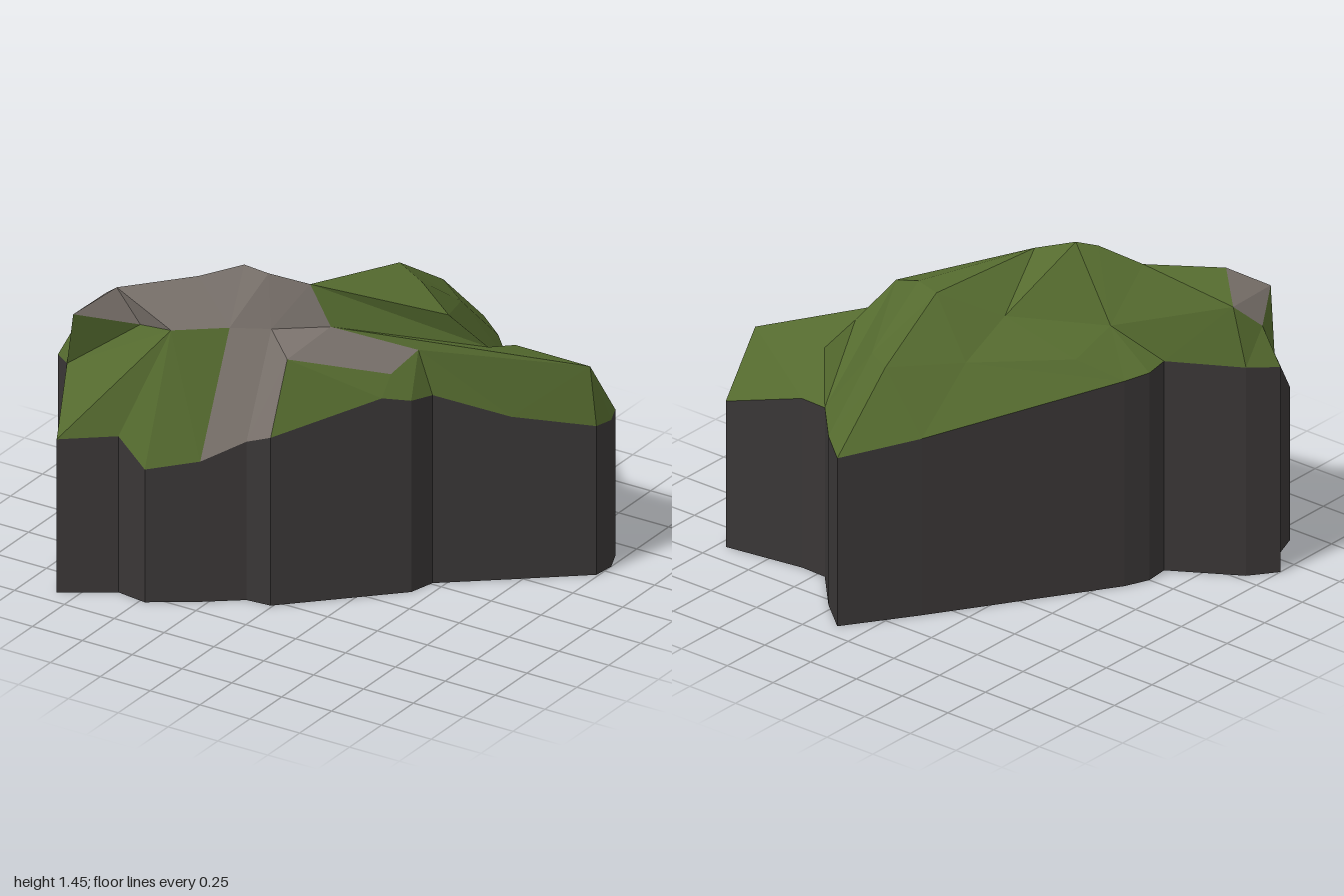
import * as THREE from 'three';

// Rim of the cliff, counter-clockwise seen from above
const rim = {
  A: [-1, 0.97, 0.66], B: [-0.91, 0.98, 0.73], C: [-0.84, 0.72, 0.92], D: [-0.62, 0.735, 0.78],
  E: [-0.475, 0.625, 0.8], F: [-0.28, 0.66, 0.67], G: [-0.125, 0.745, 0.55], H: [-0.01, 0.79, 0.54],
  X: [0.33, 0.925, 0.2], I: [0.42, 0.9, 0.11], J: [0.45, 0.885, -0.01], Y: [0.71, 0.765, -0.22],
  K: [0.99, 0.7, -0.45], L: [1, 0.69, -0.55], M: [0.96, 0.69, -0.645], N: [0.59, 0.8, -0.59],
  O: [0.46, 0.8, -0.595], P: [0.28, 0.8, -0.79], Q: [0.125, 0.795, -0.92], R: [-0.085, 0.835, -0.615],
  S: [-0.575, 0.97, 0.14], T: [-0.62, 0.98, 0.25], U: [-0.61, 0.99, 0.36], V: [-0.91, 0.985, 0.54],
};

// Front shoulder, summit ridge and back slope
const shoulder = {
  a: [-0.91, 1.14, 0.65], b: [-0.84, 1.255, 0.79], c: [-0.625, 1.185, 0.6], d: [-0.475, 1.195, 0.595],
  e: [-0.28, 1.195, 0.44], f: [-0.125, 1.195, 0.355], g: [-0.01, 1.105, 0.41], h: [0.33, 1.01, 0.13],
  i: [0.385, 1.085, 0], p: [0.955, 0.97, -0.455], q: [0.59, 0.98, -0.44], r: [0.575, 1.045, -0.25],
};
const ridge = {
  W: [-0.84, 1.25, 0.54], j: [-0.715, 1.355, 0.645], k: [-0.455, 1.38, 0.41], l: [-0.28, 1.445, 0.325],
  m: [-0.165, 1.43, 0.315], n: [-0.01, 1.385, 0.23], o: [0.08, 1.2, 0.21],
};
const back = {
  s: [0.46, 1.22, -0.12], t: [0.28, 1.3, -0.19], u: [0.125, 1.32, -0.26], v: [0.125, 1.1, -0.6],
  w: [0.28, 1.08, -0.5], x: [-0.085, 1.2, -0.06], y: [-0.085, 1.08, -0.32], z: [-0.4, 1.13, 0.26],
  Z: [-0.4, 1.06, 0.03],
};
const points = { ...rim, ...shoulder, ...ridge, ...back };
const chain = (keys) => [...keys].map((k) => new THREE.Vector3(...points[k]));

// Joins two chains, both left to right seen from outside, along the shorter diagonals
function zip(lower, upper) {
  const out = [];
  let i = 0, j = 0;
  while (i < lower.length - 1 || j < upper.length - 1) {
    const a = lower[i], b = upper[j], a2 = lower[i + 1], b2 = upper[j + 1];
    if (!b2 || (a2 && a2.distanceTo(b) <= a.distanceTo(b2))) {
      out.push(a, a2, b);
      i++;
    } else {
      out.push(a, b2, b);
      j++;
    }
  }
  return out;
}

function addPart(group, name, triangles, material) {
  const geometry = new THREE.BufferGeometry().setFromPoints(triangles);
  geometry.computeVertexNormals();
  const mesh = new THREE.Mesh(geometry, material);
  mesh.name = name;
  group.add(mesh);
}

export function createModel() {
  const group = new THREE.Group();
  group.name = 'rockyHill';
  const paint = (color) => new THREE.MeshStandardMaterial({ color, flatShading: true });
  const grass = paint(0x556b2f), rock = paint(0x7a726c), cliff = paint(0x393636);
  const surface = (name, material, strips) => addPart(group, name,
    strips.flatMap(([lower, upper]) => zip(chain(lower), chain(upper))), material);

  // Grass slopes
  surface('frontGrass', grass, [['ABCDEF', 'abcde'], ['HXIJYKLM', 'ghip']]);
  surface('topGrass', grass, [['ipr', 'o'], ['orstu', 'n'], ['pq', 'r'], ['uxzW', 'nmlkj']]);
  surface('backGrass', grass, [
    ['MNO', 'pqrs'], ['OPQ', 'swv'], ['sw', 't'], ['wv', 'tu'], ['QR', 'vy'],
    ['vy', 'ux'], ['RS', 'yZ'], ['yZ', 'xz'], ['STU', 'Zz'], ['UVA', 'zWa'],
  ]);

  // Bare rock
  surface('rockCrown', rock, [['ab', 'Wj'], ['bcdefo', 'jklmn']]);
  surface('rockLedge', rock, [['ghi', 'fo']]);
  surface('rockChute', rock, [['FGH', 'efg']]);

  // Vertical cliff walls under the rim
  const top = chain(Object.keys(rim));
  const foot = top.map((p) => new THREE.Vector3(p.x, 0, p.z));
  addPart(group, 'cliffWalls', top.flatMap((p, i) => {
    const n = (i + 1) % top.length;
    return [foot[i], foot[n], top[n], foot[i], top[n], p];
  }), cliff);

  // Flat underside
  const outline = new THREE.Shape(top.map((p) => new THREE.Vector2(p.x, p.z)));
  const base = new THREE.Mesh(new THREE.ShapeGeometry(outline).rotateX(Math.PI / 2), cliff);
  base.name = 'underside';
  group.add(base);
  return group;
}
